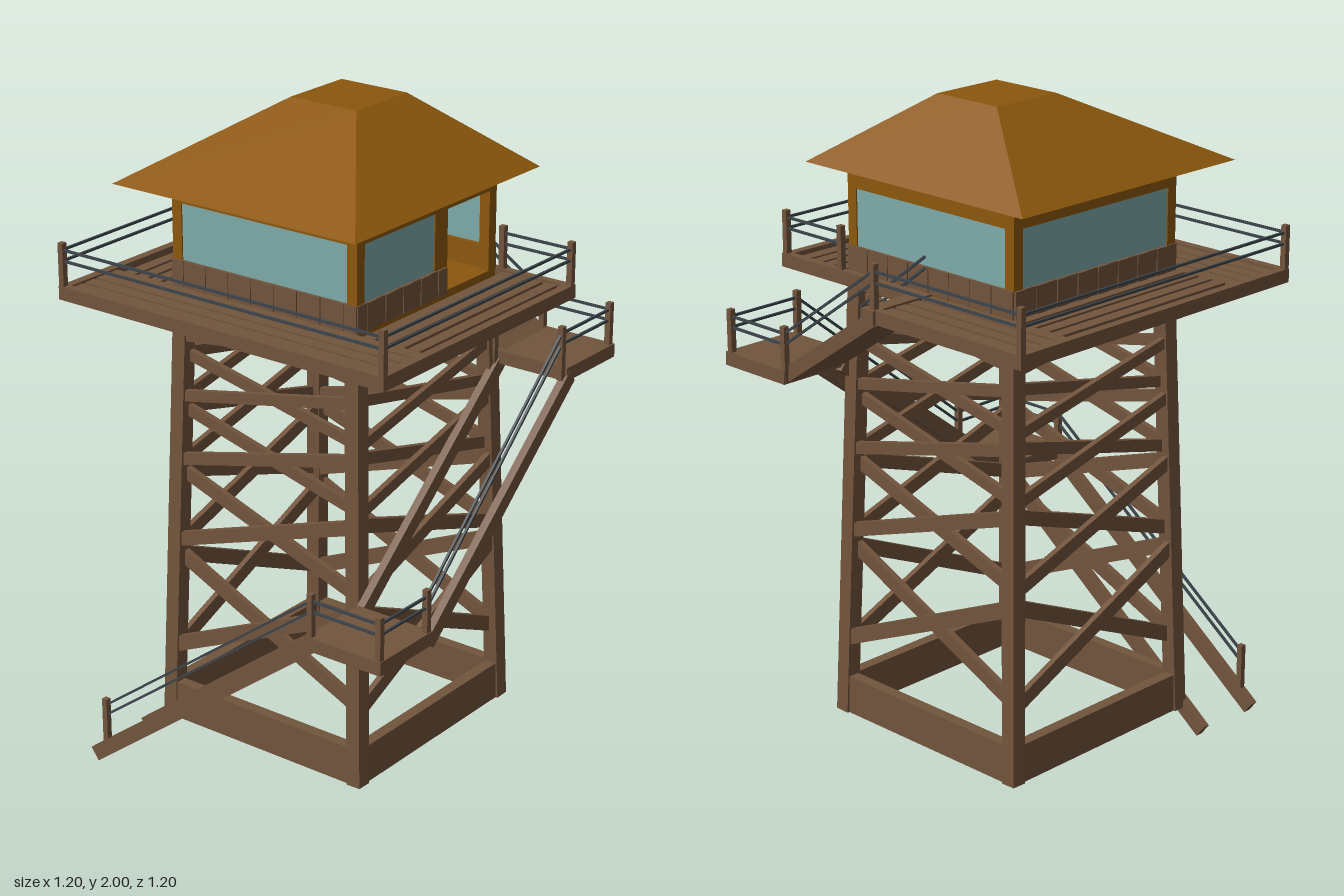
import * as THREE from 'three';

const paint = (name, color) => {
  const m = new THREE.MeshStandardMaterial({ color });
  m.name = name;
  return m;
};

export function createModel() {
  const wood = paint('wood', 0x72543c);
  const amber = paint('amberPaint', 0x8c570d);
  const glass = paint('glass', 0x7eaaaa);
  const steel = paint('railSteel', 0x3c444a);
  const model = new THREE.Group();
  model.name = 'lookoutTower';
  let target = model;

  const section = (name) => {
    target = new THREE.Group();
    target.name = name;
    model.add(target);
  };
  const add = (name, geo, mat) => {
    const mesh = new THREE.Mesh(geo, mat);
    mesh.name = name;
    target.add(mesh);
    return mesh;
  };
  // Box given by its bounds
  const box = (name, mat, x0, x1, y0, y1, z0, z1) =>
    add(name, new THREE.BoxGeometry(x1 - x0, y1 - y0, z1 - z0), mat)
      .position.set((x0 + x1) / 2, (y0 + y1) / 2, (z0 + z1) / 2);
  // Bar between two points: w across, h in the upright direction
  const beam = (name, mat, a, b, w, h, up = [0, 1, 0]) => {
    const p = new THREE.Vector3(...a), q = new THREE.Vector3(...b);
    const dir = q.clone().sub(p), length = dir.length();
    dir.normalize();
    const side = new THREE.Vector3(...up).cross(dir).normalize();
    const mesh = add(name, new THREE.BoxGeometry(w, h, length), mat);
    mesh.quaternion.setFromRotationMatrix(
      new THREE.Matrix4().makeBasis(side, dir.clone().cross(side), dir));
    mesh.position.copy(p).add(q).multiplyScalar(0.5);
  };
  // Closed block between two level rectangles [x0, x1, z0, z1]
  const frustum = (name, mat, lo, y0, hi, y1) => {
    const ring = ([x0, x1, z0, z1], y) => [[x0, y, z1], [x1, y, z1], [x1, y, z0], [x0, y, z0]];
    const a = ring(lo, y0), b = ring(hi, y1), pos = [];
    const quad = (p, q, r, s) => pos.push(...p, ...q, ...r, ...p, ...r, ...s);
    for (let i = 0; i < 4; i++) {
      const j = (i + 1) % 4;
      quad(a[i], a[j], b[j], b[i]);
    }
    quad(...b);
    quad(a[3], a[2], a[1], a[0]);
    const geo = new THREE.BufferGeometry();
    geo.setAttribute('position', new THREE.Float32BufferAttribute(pos, 3));
    geo.computeVertexNormals();
    add(name, geo, mat);
  };
  // Two thin rails following a line of floor points, with optional posts
  const railing = (points, posts = true) => {
    for (let i = 0; i + 1 < points.length; i++) {
      for (const h of [0.075, 0.108]) {
        const lift = ([x, y, z]) => [x, y + h, z];
        beam('rail', steel, lift(points[i]), lift(points[i + 1]), 0.007, 0.007);
      }
    }
    if (posts) for (const [x, y, z] of points)
      box('railPost', wood, x - 0.009, x + 0.009, y - 0.035, y + 0.13, z - 0.009, z + 0.009);
  };

  // Tapered tower: four legs, base beams and crossed braces
  const CX = -0.028, CZ = -0.015;
  const reach = (y) => 0.352 - (y - 0.08) * 0.031;
  section('towerFrame');
  for (const sx of [-1, 1]) for (const sz of [-1, 1]) {
    const at = (y) => [CX + sx * reach(y), y, CZ + sz * reach(y)];
    beam('leg', wood, at(0.08), at(1.45), 0.047, 0.047, [0, 0, 1]);
  }
  const braces = [[0.32, 0.62, 0.046], [0.67, 0.89, 0.042], [0.93, 1.09, 0.036],
    [1.13, 1.26, 0.033], [1.315, 1.395, 0.028]];
  for (let k = 0; k < 4; k++) {
    const c = Math.round(Math.cos(k * Math.PI / 2)), s = Math.round(Math.sin(k * Math.PI / 2));
    const face = (u, y, inset) => {
      const v = reach(y) - inset;
      return [CX + u * c + v * s, y, CZ - u * s + v * c];
    };
    const r = reach(0.14);
    beam('baseBeam', wood, face(-r, 0.14, 0), face(r, 0.14, 0), 0.036, 0.12);
    for (const [y0, y1, h] of braces) {
      beam('brace', wood, face(-reach(y0), y0, -0.008), face(reach(y1), y1, -0.008), 0.018, h);
      beam('brace', wood, face(-reach(y1), y1, 0.011), face(reach(y0), y0, 0.011), 0.018, h);
    }
  }

  // Walkway: rim boards and spaced planks, open at the back corner for the stair
  section('walkway');
  const Y0 = 1.435, Y1 = 1.476;
  box('rimFront', wood, -0.6, 0.56, Y0, Y1, 0.515, 0.54);
  box('rimRight', wood, -0.6, -0.573, Y0, Y1, -0.565, 0.515);
  box('rimLeft', wood, 0.533, 0.56, Y0, Y1, -0.375, 0.515);
  box('rimBack', wood, -0.573, -0.02, Y0, Y1, -0.565, -0.54);
  box('rimStair', wood, -0.045, 0.005, Y0, Y1, -0.575, -0.35);
  box('rimOpening', wood, 0.005, 0.533, Y0, Y1, -0.375, -0.35);
  for (let i = 0; i < 4; i++) {
    const d = i * 0.05;
    box('plankFront', wood, -0.573, 0.533, 1.45, 1.47, 0.32 + d, 0.36 + d);
    box('plankBack', wood, -0.573, -0.045, 1.45, 1.47, -0.54 + d, -0.502 + d);
    box('plankRight', wood, -0.545 + d, -0.507 + d, 1.45, 1.47, -0.35, 0.32);
    box('plankLeft', wood, 0.325 + d, 0.363 + d, 1.45, 1.47, -0.35, 0.32);
  }
  for (const x of [-0.587, -0.36, 0.3, 0.545])
    box('joist', wood, x - 0.012, x + 0.012, Y0, 1.45, -0.36, 0.52);
  railing([[-0.03, 1.476, -0.555], [-0.59, 1.476, -0.555], [-0.59, 1.476, 0.53],
    [0.55, 1.476, 0.53], [0.55, 1.476, -0.362], [0.315, 1.476, -0.362]]);

  // Cabin: floor, corner posts, siding boards, windows and doorway
  section('cabin');
  const X0 = -0.36, X1 = 0.3, Z0 = -0.345, Z1 = 0.315;
  box('floor', amber, X0, X1, 1.442, 1.478, Z0, Z1);
  for (const x of [X0, X1 - 0.034]) for (const z of [Z0, Z1 - 0.034])
    box('cornerPost', amber, x, x + 0.034, 1.478, 1.72, z, z + 0.034);
  box('doorPost', amber, X1 - 0.03, X1, 1.478, 1.72, -0.105, -0.045);
  frustum('wallTop', amber, [X0, X1, Z0, Z1], 1.72, [X0, X1, Z0, Z1], 1.76);
  frustum('wallTopBevel', amber, [X0, X1, Z0, Z1], 1.76,
    [X0 + 0.02, X1 - 0.02, Z0 + 0.02, Z1 - 0.02], 1.79);
  const e = 0.004, n = 16;
  box('liningFront', amber, X0 + 0.03, X1 - 0.03, 1.478, 1.55, Z1 - 0.025, Z1 - 0.005);
  box('liningBack', amber, X0 + 0.03, X1 - 0.03, 1.478, 1.55, Z0 + 0.005, Z0 + 0.025);
  box('liningRight', amber, X0 + 0.005, X0 + 0.025, 1.478, 1.55, Z0 + 0.03, Z1 - 0.03);
  box('liningLeft', amber, X1 - 0.025, X1 - 0.005, 1.478, 1.55, -0.045, Z1 - 0.03);
  for (let i = 0; i < n; i++) {
    const w = 0.66 / n, x = X0 + i * w, z = Z0 + i * w, d = i % 2 ? e : e + 0.003;
    box('sidingFront', wood, x, x + w, 1.47, 1.55, Z1 - 0.005, Z1 + d);
    box('sidingBack', wood, x, x + w, 1.47, 1.55, Z0 - d, Z0 + 0.005);
    box('sidingRight', wood, X0 - d, X0 + 0.005, 1.47, 1.55, z, z + w);
    if (z > -0.11) box('sidingLeft', wood, X1 - 0.005, X1 + d, 1.47, 1.55, z, z + w);
  }
  box('windowFront', glass, X0 + 0.03, X1 - 0.03, 1.55, 1.72, Z1 - 0.012, Z1 - 0.004);
  box('windowBack', glass, X0 + 0.03, X1 - 0.03, 1.55, 1.72, Z0 + 0.004, Z0 + 0.012);
  box('windowRight', glass, X0 + 0.004, X0 + 0.012, 1.55, 1.72, Z0 + 0.03, Z1 - 0.03);
  box('windowLeft', glass, X1 - 0.012, X1 - 0.004, 1.55, 1.72, -0.045, Z1 - 0.03);
  // Simple bench with a high end board
  box('benchSeat', amber, -0.2, 0.1, 1.52, 1.535, -0.29, -0.1);
  box('benchEnd', amber, -0.2, 0.1, 1.478, 1.63, -0.305, -0.28);
  for (const x of [-0.18, 0.08]) box('benchLeg', amber, x - 0.01, x + 0.01, 1.478, 1.52, -0.13, -0.11);

  // Hipped roof with a flat top
  section('roof');
  frustum('roofShell', amber, [-0.458, 0.4, -0.415, 0.455], 1.787, [-0.147, 0.086, -0.195, 0.04], 2);

  // Lower stair and landing
  section('lowerStair');
  for (const z of [0.588, 0.362])
    beam('stringer', wood, [-0.473, 0.022, z], [0.35, 0.645, z], 0.024, 0.046);
  box('lowerLanding', wood, 0.342, 0.6, 0.632, 0.674, 0.36, 0.6);
  railing([[-0.43, 0.09, 0.588], [0.352, 0.674, 0.588]]);
  railing([[0.352, 0.674, 0.588], [0.588, 0.674, 0.588], [0.588, 0.674, 0.372]]);

  // Middle stair, leaning in with the tower
  section('middleStair');
  for (const dx of [0, 0.238])
    beam('stringer', wood, [0.348 + dx, 0.637, 0.365], [0.31 + dx, 1.195, -0.375], 0.024, 0.046);
  railing([[0.588, 0.674, 0.372], [0.545, 1.226, -0.335]], false);
  box('middleLanding', wood, 0.305, 0.56, 1.185, 1.226, -0.6, -0.345);
  railing([[0.545, 1.226, -0.335], [0.545, 1.226, -0.588], [0.312, 1.226, -0.588]]);
  box('railPost', wood, 0.301, 0.319, 1.19, 1.35, -0.344, -0.326);

  // Upper sloping stair to the walkway
  section('upperStair');
  beam('stairSlope', wood, [-0.03, 1.448, -0.465], [0.325, 1.203, -0.475], 0.22, 0.042);
  railing([[0.312, 1.226, -0.588], [-0.03, 1.476, -0.56]], false);
  railing([[0.31, 1.226, -0.335], [-0.03, 1.476, -0.362]], false);

  return model;
}
